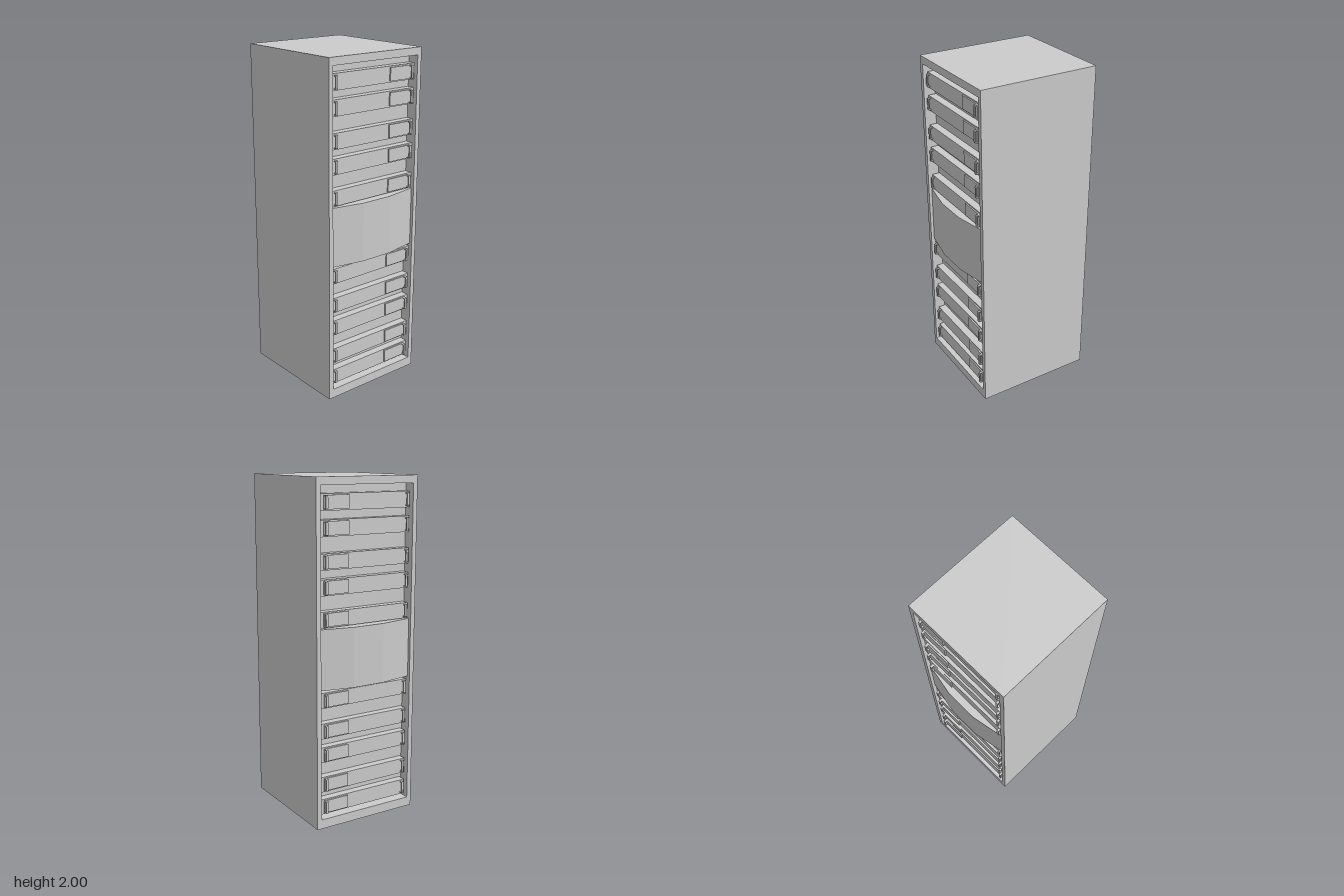
import * as THREE from 'three';

const material = new THREE.MeshStandardMaterial({ color: 0xcccccc, flatShading: true });

const OPENING = { w: 0.61, bottom: 0.056, top: 1.956 };
const PLATE_Z = 0.29;   // recessed backing behind the units
const UNIT_Z = 0.337;   // front of each unit
const DOOR_Z = 0.345;   // front of the raised panel
const UNIT_HEIGHTS = [1.865, 1.726, 1.545, 1.404, 1.225, 0.763, 0.582, 0.44, 0.26, 0.123];

function add(parent, name, geometry, x = 0, y = 0, z = 0) {
  const mesh = new THREE.Mesh(geometry, material);
  mesh.name = name;
  mesh.position.set(x, y, z);
  parent.add(mesh);
  return mesh;
}

function box(parent, name, w, h, z0, z1, x, y) {
  return add(parent, name, new THREE.BoxGeometry(w, h, z1 - z0), x, y, (z0 + z1) / 2);
}

function polygon(points) {
  return new THREE.Shape(points.map(([x, y]) => new THREE.Vector2(x, y)));
}

// Outer shell: a rectangular tube open at the front and back
function cabinetGeometry() {
  const shape = polygon([[-0.333, 0], [0.333, 0], [0.333, 2], [-0.333, 2]]);
  const w = OPENING.w / 2;
  shape.holes.push(polygon([[-w, OPENING.bottom], [-w, OPENING.top], [w, OPENING.top], [w, OPENING.bottom]]));
  return new THREE.ExtrudeGeometry(shape, { depth: 0.72, bevelEnabled: false }).translate(0, 0, -0.36);
}

// U-shaped pull with softened corners, drawn from the side and extruded across
function handleGeometry() {
  const h = 0.037, d = 0.018, t = 0.006, c = 0.006;
  const shape = polygon([
    [0, -h], [d - c, -h], [d - c * 0.3, -h + c * 0.3], [d, -h + c],
    [d, h - c], [d - c * 0.3, h - c * 0.3], [d - c, h], [0, h],
    [0, h - t], [d - t, h - t], [d - t, -h + t], [0, -h + t],
  ]);
  const width = 0.014;
  return new THREE.ExtrudeGeometry(shape, { depth: width, bevelEnabled: false })
    .translate(0, 0, -width / 2)
    .rotateY(-Math.PI / 2);
}

// Faceted cover that bulges past the cabinet face
function bezelGeometry() {
  const shape = polygon([
    [-0.305, -PLATE_Z], [-0.305, -0.341], [-0.1, -0.38],
    [0.1, -0.38], [0.305, -0.341], [0.305, -PLATE_Z],
  ]);
  return new THREE.ExtrudeGeometry(shape, { depth: 0.35, bevelEnabled: false }).rotateX(-Math.PI / 2);
}

// One populated face; side flips the layout so both faces match across the depth
function rackFace(name, side) {
  const face = new THREE.Group();
  face.name = name;
  const handle = handleGeometry();
  UNIT_HEIGHTS.forEach((y) => {
    const unit = new THREE.Group();
    unit.name = 'rackUnit';
    unit.position.y = y;
    box(unit, 'unitBody', 0.598, 0.091, PLATE_Z - 0.01, UNIT_Z, side * 0.003, 0);
    box(unit, 'unitPanel', 0.16, 0.076, UNIT_Z - 0.005, DOOR_Z, side * 0.195, 0);
    add(unit, 'unitHandle', handle, side * -0.274, 0, UNIT_Z);
    add(unit, 'unitHandle', handle, side * 0.267, 0, DOOR_Z);
    face.add(unit);
  });
  add(face, 'bezel', bezelGeometry(), 0, 0.825, 0);
  return face;
}

export function createModel() {
  const model = new THREE.Group();
  model.name = 'serverRack';

  add(model, 'cabinet', cabinetGeometry());
  box(model, 'innerCore', OPENING.w, OPENING.top - OPENING.bottom, -PLATE_Z, PLATE_Z,
    0, (OPENING.top + OPENING.bottom) / 2);

  model.add(rackFace('frontFace', 1));
  const back = rackFace('backFace', -1);
  back.rotation.y = Math.PI;
  model.add(back);

  return model;
}
